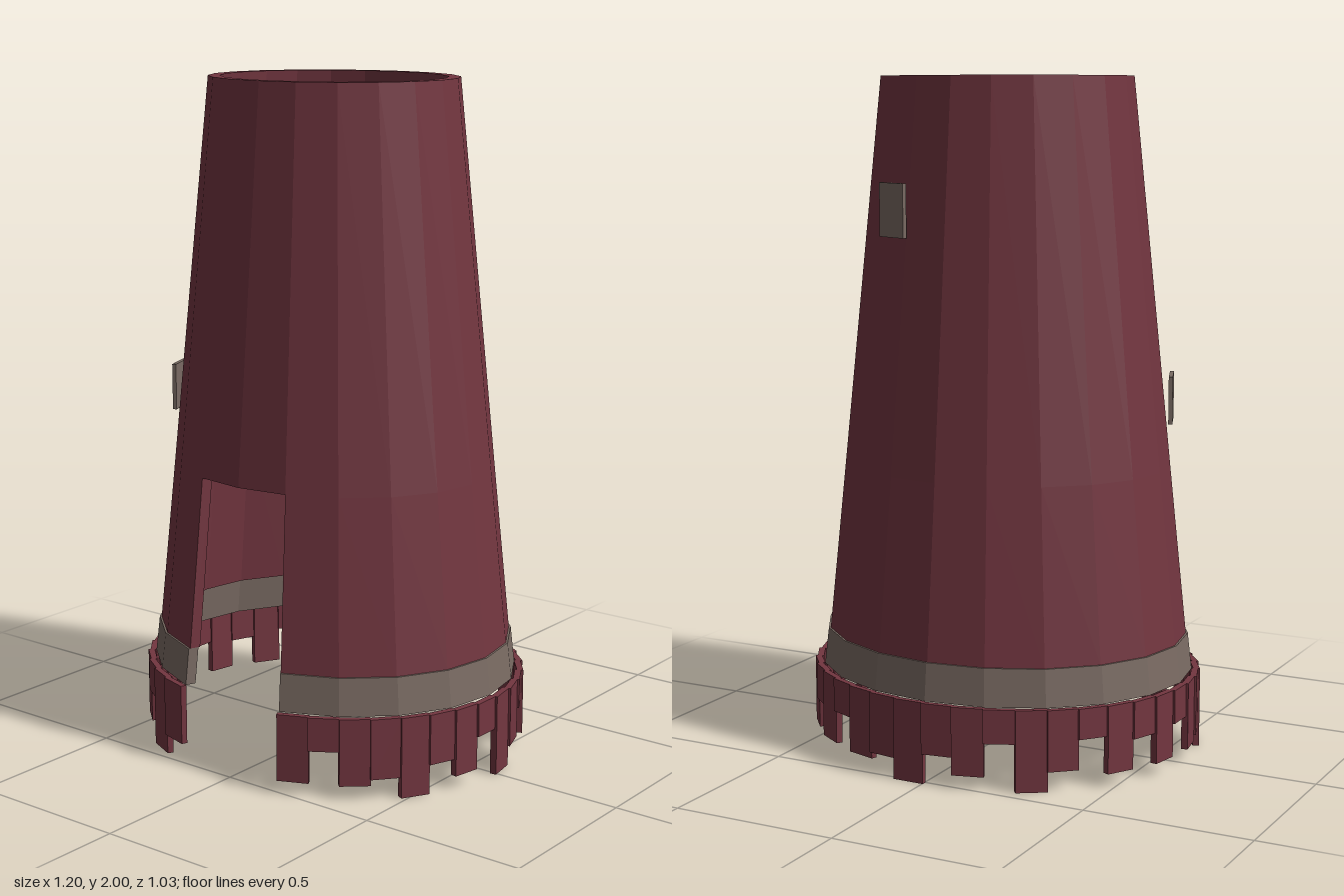
import * as THREE from 'three';

const SIDES = 20;
const STEP = (Math.PI * 2) / SIDES;
const DOOR = STEP; // half angle of the doorway, centred on +z

const red = new THREE.MeshStandardMaterial({ color: 0x733640, flatShading: true, side: THREE.DoubleSide });
const grey = new THREE.MeshStandardMaterial({ color: 0x7a6b63, flatShading: true, side: THREE.DoubleSide });

// Hollow tapered ring; with a doorway it stops short at the front and its ends are capped
function addRing(parent, name, material, y0, r0, y1, r1, thickness, doorway) {
  const part = new THREE.Group();
  part.name = name;
  const profile = [[r0, y0], [r1, y1], [r1 - thickness, y1], [r0 - thickness, y0], [r0, y0]]
    .map(([x, y]) => new THREE.Vector2(x, y));
  const start = doorway ? DOOR : 0;
  const segments = doorway ? SIDES - 2 : SIDES;
  part.add(new THREE.Mesh(new THREE.LatheGeometry(profile, segments, start, segments * STEP), material));
  if (doorway) {
    for (const angle of [DOOR, -DOOR]) {
      const cap = new THREE.ShapeGeometry(new THREE.Shape(profile.slice(0, 4)));
      cap.rotateY(angle - Math.PI / 2);
      part.add(new THREE.Mesh(cap, material));
    }
  }
  part.children.forEach((mesh) => { mesh.name = name; });
  parent.add(part);
}

// Thin upright plate standing just off the wall
function addPlate(parent, x, y, z, width, height, turn) {
  const plate = new THREE.Mesh(new THREE.BoxGeometry(width, height, 0.012), grey);
  plate.name = 'windowPlate';
  plate.position.set(x, y, z);
  plate.rotation.y = turn;
  parent.add(plate);
}

export function createModel() {
  const model = new THREE.Group();
  model.name = 'tower';

  // Everything round is squashed into an ellipse
  const body = new THREE.Group();
  body.name = 'towerBody';
  body.scale.z = 0.88;
  body.position.z = 0.0075;
  model.add(body);

  addRing(body, 'upperWall', red, 0.86, 0.502, 2, 0.383, 0.036, false);
  addRing(body, 'lowerWall', red, 0.35, 0.556, 0.86, 0.502, 0.036, true);
  addRing(body, 'baseBand', grey, 0.24, 0.575, 0.35, 0.562, 0.036, true);

  // Ragged skirt of overlapping planks around the foot
  const bottoms = [0.04, 0.14, 0.04, 0.06, 0, 0.09, 0.04, 0.14, 0, 0.06, 0.15, 0.04, 0.13];
  const skirt = new THREE.Group();
  skirt.name = 'skirt';
  const count = 36;
  const pitch = (Math.PI * 2 - 2 * DOOR) / count;
  for (let i = 0; i < count; i++) {
    const angle = DOOR + (i + 0.5) * pitch;
    const bottom = bottoms[i % bottoms.length];
    const plank = new THREE.Mesh(new THREE.BoxGeometry(0.096, 0.24 - bottom, 0.02), red);
    plank.name = 'skirtPlank';
    plank.position.set(0.586 * Math.sin(angle), (0.24 + bottom) / 2, 0.586 * Math.cos(angle));
    plank.rotation.y = angle + 0.07;
    skirt.add(plank);
  }
  body.add(skirt);

  // Plates on the right side and at the back
  addPlate(model, -0.472, 1.06, 0.158, 0.138, 0.14, -1.2);
  addPlate(model, 0.183, 1.62, -0.343, 0.115, 0.155, Math.PI - 0.42);
  return model;
}
